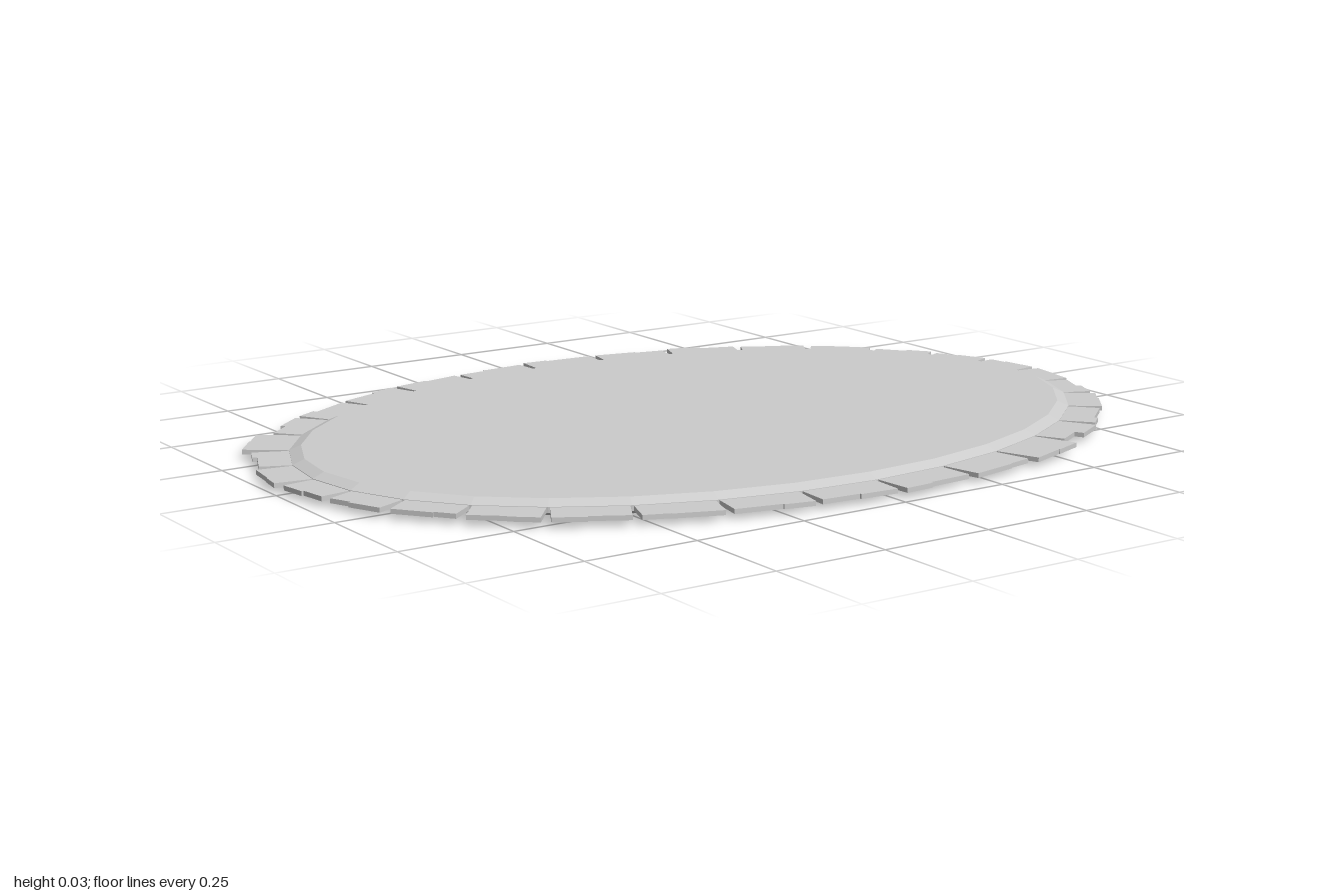
import * as THREE from 'three';

const SIDES = 32, CX = 0.01, A = 0.928, B = 0.646;

// How far each fringe tab reaches outwards: [first part, second part], clockwise from the back
const TABS = [
  [0.088, 0.082], [0.082, 0.076], [0.09, 0.079], [0.074, 0.077],
  [0.072, 0.066], [0.052, 0.062], [0.05, 0.058], [0.056, 0.062],
  [0.062, 0.06], [0.052, 0.064], [0.072, 0.075], [0.07, 0.078],
  [0.085, 0.064], [0.1, 0.098], [0.085, 0.088], [0.08, 0.086],
  [0.078, 0.074], [0.078, 0.074], [0.076, 0.073], [0.07, 0.075],
  [0.074, 0.07], [0.066, 0.07], [0.072, 0.066], [0.067, 0.072],
  [0.08, 0.078], [0.068, 0.078], [0.1, 0.098], [0.066, 0.078],
  [0.078, 0.068], [0.072, 0.08], [0.078, 0.072], [0.07, 0.077],
];

// Corner of the oval, in plan (y of the plan points to the back)
function corner(i) {
  const t = (i / SIDES) * Math.PI * 2;
  return new THREE.Vector2(CX + A * Math.sin(t), B * Math.cos(t));
}

// Lays a plan outline flat and gives it a thickness
function slab(name, points, y, options, material) {
  const geometry = new THREE.ExtrudeGeometry(new THREE.Shape(points), options);
  geometry.rotateX(-Math.PI / 2);
  const mesh = new THREE.Mesh(geometry, material);
  mesh.name = name;
  mesh.position.y = y;
  return mesh;
}

export function createModel() {
  const model = new THREE.Group();
  model.name = 'ovalPlate';
  const material = new THREE.MeshStandardMaterial({ color: 0xcccccc, flatShading: true });

  // Oval plate, chamfered above and below
  const outline = Array.from({ length: SIDES }, (_, i) => corner(i));
  model.add(slab('plate', outline, 0.011, {
    depth: 0.012, bevelEnabled: true, bevelSegments: 1,
    bevelSize: 0.025, bevelThickness: 0.011, bevelOffset: -0.025,
  }, material));

  // Fringe of stepped tabs, one on each side of the oval
  const fringe = new THREE.Group();
  fringe.name = 'fringe';
  TABS.forEach(([first, second], i) => {
    const start = corner(i), edge = corner(i + 1).sub(start);
    const out = new THREE.Vector2(-edge.y, edge.x).normalize();
    const at = (u, v) => start.clone().addScaledVector(edge, u).addScaledVector(out, v);
    const step = 0.35 + 0.3 * ((i * 5) % 7) / 6;
    const tab = [
      at(0.02, -0.015), at(0.02, first), at(step, first),
      at(step, second), at(0.98, second), at(0.98, -0.015),
    ];
    fringe.add(slab('tab', tab, 0.012, { depth: 0.01, bevelEnabled: false }, material));
  });
  model.add(fringe);
  return model;
}
